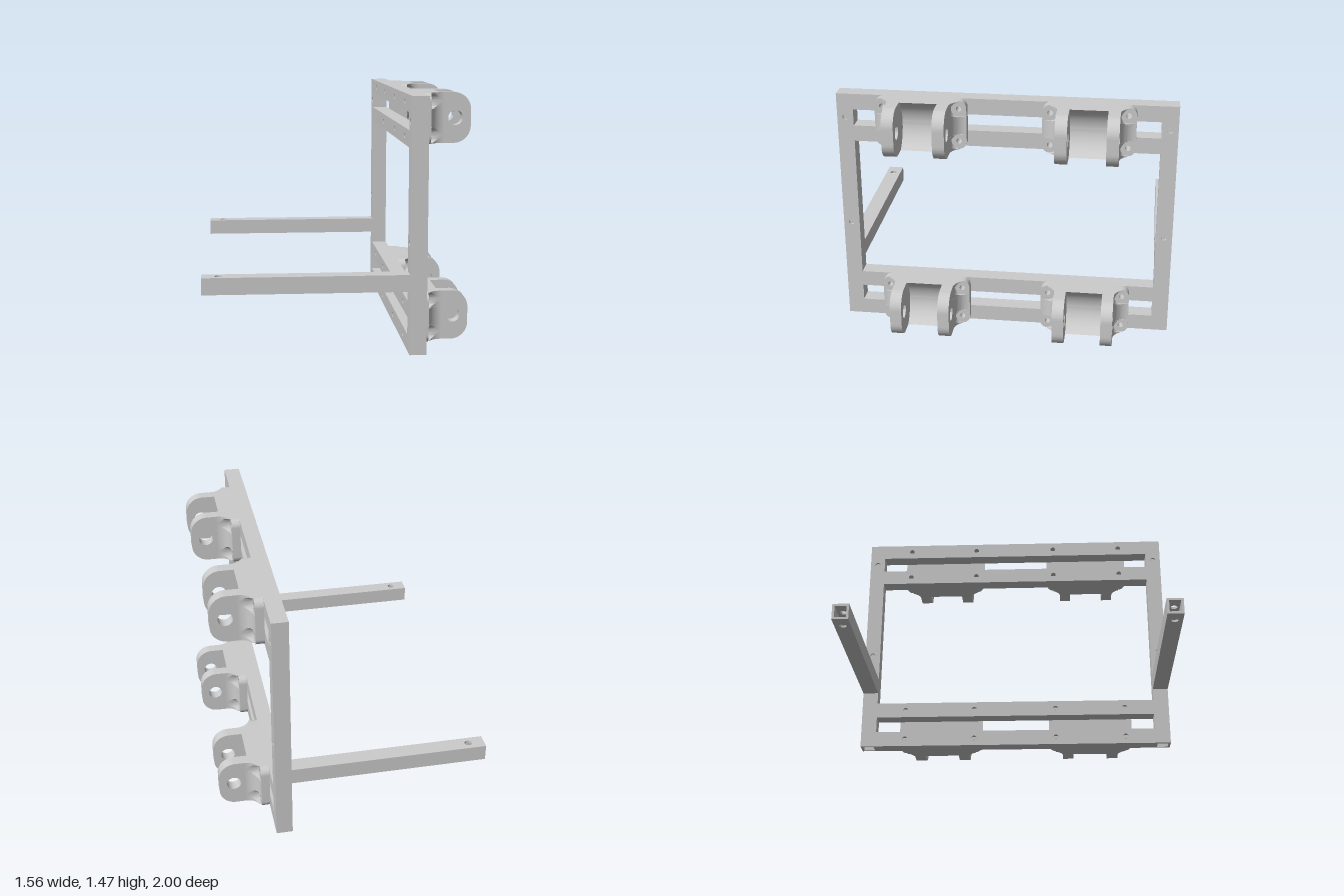
import * as THREE from 'three';
import { toCreasedNormals } from 'three/addons/utils/BufferGeometryUtils.js';

const MAT = new THREE.MeshStandardMaterial({ color: 0xcccccc });
const S = 0.097;          // tube width
const WALL = 0.014;       // tube wall
const FX = 0.4355;        // frame centre plane in x
const FACE = FX + S / 2;  // mounting face of the frame
const H = 1.466;          // frame height
const BH = 0.294;         // bracket height
const BOLT_Z = 0.225, BOLT_Y = 0.0985, HEAD_R = 0.045;

function mesh(name, geometry) {
  const m = new THREE.Mesh(geometry, MAT);
  m.name = name;
  return m;
}

function circle(x, y, r) {
  return new THREE.Path().absarc(x, y, r, 0, Math.PI * 2, true);
}

function extrude(shape, depth) {
  const g = new THREE.ExtrudeGeometry(shape, { depth, bevelEnabled: false, curveSegments: 20 });
  return toCreasedNormals(g, 0.6);
}

// Hollow square tube along local x, drilled through its two z walls
function tube(name, length, holes, r) {
  const group = new THREE.Group();
  group.name = name;
  const a = length / 2, b = S / 2;
  const plate = new THREE.Shape([[-a, -b], [a, -b], [a, b], [-a, b]].map(p => new THREE.Vector2(...p)));
  for (const h of holes) plate.holes.push(circle(h, 0, r));
  const drilled = extrude(plate, WALL);
  for (const z of [-b, b - WALL]) {
    const m = mesh('drilledWall', drilled);
    m.position.z = z;
    group.add(m);
  }
  for (const s of [-1, 1]) {
    const m = mesh('plainWall', new THREE.BoxGeometry(length, WALL, S - 2 * WALL));
    m.position.y = s * (b - WALL / 2);
    group.add(m);
  }
  return group;
}

// Lug with rounded outer corners and a pin hole
function lugGeometry() {
  const h = BH / 2, x1 = 0.78, r = 0.1;
  const s = new THREE.Shape();
  s.moveTo(FACE, -h);
  s.lineTo(x1 - r, -h);
  s.absarc(x1 - r, -h + r, r, -Math.PI / 2, 0, false);
  s.absarc(x1 - r, h - r, r, 0, Math.PI / 2, false);
  s.lineTo(FACE, h);
  s.holes.push(circle(0.69, 0, 0.043));
  return extrude(s, 0.07);
}

// Block between the lugs, hollowed around the pin axis
function saddleGeometry() {
  const h = BH / 2, r = Math.hypot(0.09, h), a = Math.atan2(h, 0.09);
  const s = new THREE.Shape();
  s.moveTo(FACE, -h);
  s.lineTo(0.6, -h);
  s.absarc(0.69, 0, r, Math.PI + a, Math.PI - a, true);
  s.lineTo(FACE, h);
  return extrude(s, 0.22);
}

// Bolt flange beside a lug, rounded around the bolts
function flangeGeometry() {
  const h = BH / 2, z1 = 0.27, r = HEAD_R;
  const s = new THREE.Shape();
  s.moveTo(0.18, -h);
  s.lineTo(z1 - r, -h);
  s.absarc(z1 - r, -h + r, r, -Math.PI / 2, 0, false);
  s.absarc(z1 - r, h - r, r, 0, Math.PI / 2, false);
  s.lineTo(0.18, h);
  for (const y of [-BOLT_Y, BOLT_Y]) s.holes.push(circle(BOLT_Z, y, 0.016));
  return extrude(s, 0.535 - FACE).rotateY(-Math.PI / 2).translate(0.535, 0, 0);
}

// Concave fillet from lug to flange, with round clearances for the bolt heads
function filletGeometry() {
  const R = 0.085, K = 12, N = 20, base = 0.535, h = BH / 2;
  const slices = []; // [y, outer z, collapsed]
  const clearance = (c) => {
    for (let i = 0; i <= N; i++) {
      const t = Math.PI * i / N;
      slices.push([c - HEAD_R * Math.cos(t), BOLT_Z - HEAD_R * Math.sin(t)]);
    }
  };
  slices.push([-h, BOLT_Z, true], [-h, BOLT_Z]);
  clearance(-BOLT_Y);
  slices.push([-BOLT_Y + HEAD_R, 0.265], [BOLT_Y - HEAD_R, 0.265]);
  clearance(BOLT_Y);
  slices.push([h, BOLT_Z], [h, BOLT_Z, true]);

  const pos = [], index = [], W = K + 2;
  for (const [y, zEnd, flat] of slices) {
    const end = Math.acos(Math.min(1, (0.265 - zEnd) / R));
    for (let j = 0; j <= K; j++) {
      const a = end * j / K;
      pos.push(flat ? base : 0.62 - R * Math.sin(a), y, 0.265 - R * Math.cos(a));
    }
    pos.push(base, y, zEnd);
  }
  for (let i = 0; i < slices.length - 1; i++) {
    for (let j = 0; j < W - 1; j++) {
      const a = i * W + j, b = a + W;
      index.push(a, b, a + 1, b, b + 1, a + 1);
    }
  }
  const g = new THREE.BufferGeometry();
  g.setAttribute('position', new THREE.Float32BufferAttribute(pos, 3));
  g.setIndex(index);
  return toCreasedNormals(g, 0.6);
}

export function createModel() {
  const model = new THREE.Group();
  model.name = 'bracketFrame';
  const edge = 1 - S / 2;

  // Uprights and forward arms
  for (const s of [-1, 1]) {
    const side = s > 0 ? 'front' : 'back';
    const upright = tube(side + 'Upright', H, [0.635 - H / 2, 1.32 - H / 2], 0.017);
    upright.rotation.set(Math.PI / 2, Math.PI / 2, 0);
    upright.position.set(FX, H / 2, s * edge);
    model.add(upright);

    const cap = mesh(side + 'UprightCap', new THREE.BoxGeometry(S - 2 * WALL, WALL, S - 2 * WALL));
    cap.position.set(FX, H - WALL / 2, s * edge);
    model.add(cap);

    const length = FX - S / 2 + 0.78;
    const arm = tube(side + 'Arm', length, [0.095 - length / 2], 0.022);
    arm.rotation.x = Math.PI / 2;
    arm.position.set(-0.78 + length / 2, 0.416, s * edge);
    model.add(arm);
  }

  // Four rails in two pairs
  const centres = [BH / 2, H - BH / 2];
  const bolts = [-0.715, -0.265, 0.265, 0.715];
  for (const c of centres) {
    for (const s of [-1, 1]) {
      const rail = tube('rail', 2 * (1 - S), bolts, 0.016);
      rail.rotation.y = Math.PI / 2;
      rail.position.set(FX, c + s * BOLT_Y, 0);
      model.add(rail);
    }
  }

  // Clevis brackets, each bridging a pair of rails
  const lug = lugGeometry(), saddle = saddleGeometry();
  const flange = flangeGeometry(), fillet = filletGeometry();
  for (const y of centres) {
    for (const z of [-0.49, 0.49]) {
      const bracket = new THREE.Group();
      bracket.name = 'clevisBracket';
      bracket.position.set(0, y, z);
      const middle = mesh('saddle', saddle);
      middle.position.z = -0.11;
      bracket.add(middle);
      for (const turn of [0, Math.PI]) {
        const half = new THREE.Group();
        half.name = 'bracketHalf';
        half.rotation.x = turn;
        const l = mesh('lug', lug);
        l.position.z = 0.11;
        half.add(l, mesh('flange', flange), mesh('fillet', fillet));
        bracket.add(half);
      }
      model.add(bracket);
    }
  }
  return model;
}
